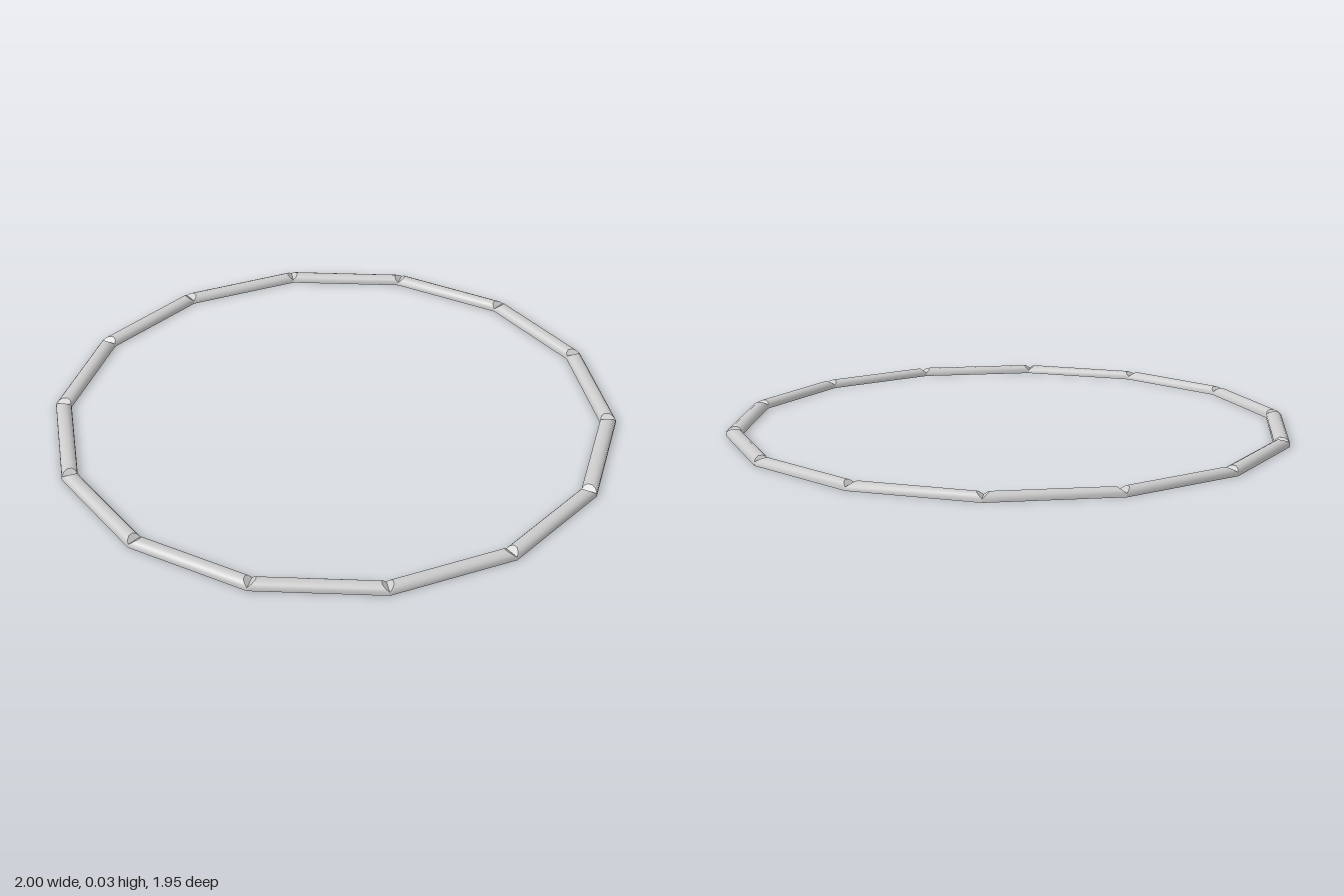
import * as THREE from 'three';

const SIDES = 14;
const MID = 0.9475;        // distance from the centre to a segment's middle line
const NOTCH_Y = 0.012;     // above this height the ends slope back from the joint
const NOTCH_SLOPE = 1.3;

// Half-pipe section, outer edge over the top to inner edge: [offset, height]
const half = [[0.0275, 0], [0.0265, NOTCH_Y], [0.0195, 0.021], [0.008, 0.0265]];
const profile = [...half, ...half.map(([v, y]) => [-v, y]).reverse()];

// Point of the section at one end, cut to the mitre and sloped above the notch
function endPoint([v, y], side) {
  const length = (MID + v) * Math.tan(Math.PI / SIDES);
  const inset = Math.max(0, y - NOTCH_Y) * NOTCH_SLOPE;
  return [side * (length - inset), y, MID + v];
}

function meshGeometry(positions, index) {
  const geometry = new THREE.BufferGeometry();
  geometry.setAttribute('position', new THREE.Float32BufferAttribute(positions, 3));
  geometry.setIndex(index);
  geometry.computeVertexNormals();
  return geometry;
}

// Rounded channel, open underneath
function channelGeometry() {
  const positions = [], index = [];
  profile.forEach((p, i) => {
    positions.push(...endPoint(p, -1), ...endPoint(p, 1));
    if (i > 0) {
      const a = 2 * (i - 1);
      index.push(a, a + 1, a + 3, a, a + 3, a + 2);
    }
  });
  return meshGeometry(positions, index);
}

// Sloping face closing the upper part of one end
function endGeometry(side) {
  const points = profile.filter(([, y]) => y >= NOTCH_Y);
  const index = [];
  for (let i = 1; i < points.length - 1; i++) {
    index.push(...(side > 0 ? [0, i + 1, i] : [0, i, i + 1]));
  }
  return meshGeometry(points.flatMap((p) => endPoint(p, side)), index);
}

export function createModel() {
  const model = new THREE.Group();
  model.name = 'segmentedRing';
  const material = new THREE.MeshStandardMaterial({ color: 0xcccccc, side: THREE.DoubleSide });
  const parts = [
    ['channel', channelGeometry()],
    ['leftEnd', endGeometry(1)],
    ['rightEnd', endGeometry(-1)],
  ];

  // Straight segments around the ring
  for (let k = 0; k < SIDES; k++) {
    const segment = new THREE.Group();
    segment.name = `segment${k + 1}`;
    for (const [name, geometry] of parts) {
      const mesh = new THREE.Mesh(geometry, material);
      mesh.name = name;
      segment.add(mesh);
    }
    segment.rotation.y = (k * 2 * Math.PI) / SIDES;
    model.add(segment);
  }
  return model;
}
